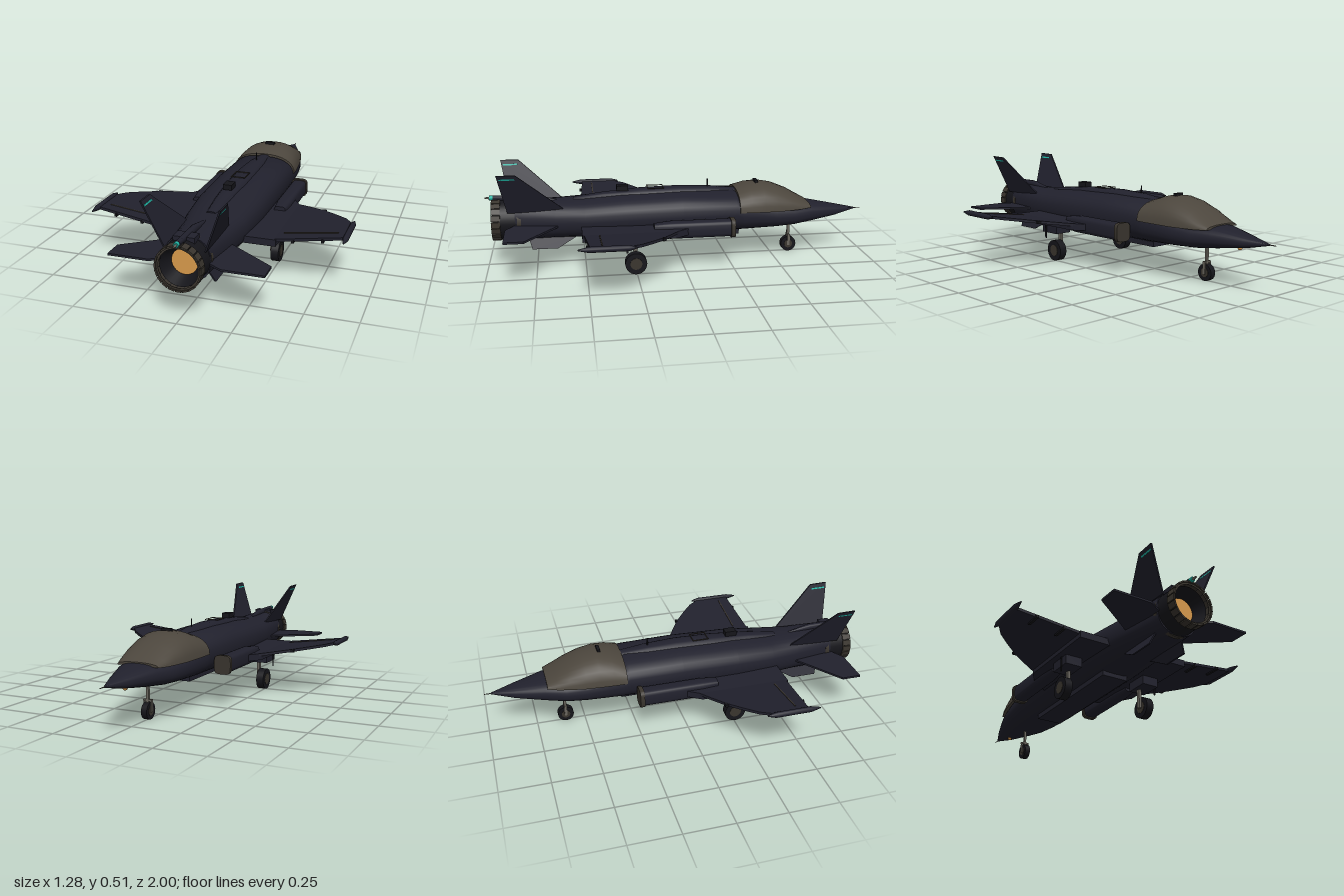
import * as THREE from 'three';
import { toCreasedNormals } from 'three/addons/utils/BufferGeometryUtils.js';

const mat = (name, color, side = THREE.FrontSide) => {
  const m = new THREE.MeshStandardMaterial({ color, side });
  m.name = name;
  return m;
};

// Closed skin over stations [z, halfWidth, yBottom, yTop]; flat gives a level base
function loft(stations, power, flat = false, n = 32) {
  const pos = [], idx = [];
  const bend = v => Math.sign(v) * Math.abs(v) ** (2 / power);
  for (const [z, w, lo, hi] of stations) {
    const mid = flat ? lo : (lo + hi) / 2;
    for (let j = 0; j < n; j++) {
      const a = (j / n) * Math.PI * 2;
      const s = bend(Math.sin(a));
      pos.push(w * bend(Math.cos(a)), mid + s * (s > 0 ? hi - mid : mid - lo), z);
    }
  }
  const last = stations.length - 1;
  for (let i = 0; i < last; i++) {
    for (let j = 0; j < n; j++) {
      const k = (j + 1) % n, a = i * n, b = a + n;
      idx.push(a + j, a + k, b + k, a + j, b + k, b + j);
    }
  }
  for (const i of [0, last]) {
    const [z, , lo, hi] = stations[i];
    const c = pos.length / 3;
    pos.push(0, (lo + hi) / 2, z);
    for (let j = 0; j < n; j++) {
      const p = i * n + j, q = i * n + (j + 1) % n;
      if (i) idx.push(c, p, q); else idx.push(c, q, p);
    }
  }
  const g = new THREE.BufferGeometry();
  g.setAttribute('position', new THREE.Float32BufferAttribute(pos, 3));
  g.setIndex(idx);
  return toCreasedNormals(g, 0.7);
}

function extrude(points, depth) {
  const shape = new THREE.Shape(points.map(p => new THREE.Vector2(...p)));
  return new THREE.ExtrudeGeometry(shape, { depth, bevelEnabled: false }).translate(0, 0, -depth / 2);
}

// Level plate from [x, z] points, rising with slope beyond x0
function level(points, y, thick, slope = 0, x0 = 0) {
  const g = extrude(points, thick).rotateX(Math.PI / 2).translate(0, y, 0);
  const p = g.attributes.position;
  for (let i = 0; i < p.count; i++) p.setY(i, p.getY(i) + slope * (p.getX(i) - x0));
  g.computeVertexNormals();
  return g;
}

// Upright plate from [z, y] points, leaning outward with slope above y0
function upright(points, x, thick, slope, y0) {
  const g = extrude(points, thick).rotateY(-Math.PI / 2).translate(x, 0, 0);
  const p = g.attributes.position;
  for (let i = 0; i < p.count; i++) p.setX(i, p.getX(i) + slope * (p.getY(i) - y0));
  g.computeVertexNormals();
  return g;
}

export function createModel() {
  const hull = mat('dark hull', 0x21212d);
  const glass = mat('bronze canopy', 0x4c463d);
  const trim = mat('brown metal', 0x3a352e, THREE.DoubleSide);
  const black = mat('black', 0x15151a, THREE.DoubleSide);
  const strutGrey = mat('strut grey', 0x6a665e);
  const orange = mat('engine glow', 0xd89a4c);
  const teal = mat('teal light', 0x1fb5a4);

  const model = new THREE.Group();
  const left = new THREE.Group();
  left.name = 'leftSide';
  const add = (name, geo, m, parent = model) => {
    const mesh = new THREE.Mesh(geo, m);
    mesh.name = name;
    parent.add(mesh);
    return mesh;
  };
  const box = (name, m, w, h, d, x, y, z, parent) =>
    add(name, new THREE.BoxGeometry(w, h, d).translate(x, y, z), m, parent);
  // Cylinder lying along z (r0 at the rear end) or along x
  const rodZ = (r0, r1, len, x, y, z, n = 16, open = false) =>
    new THREE.CylinderGeometry(r0, r1, len, n, 1, open).rotateX(Math.PI / 2).translate(x, y, z);
  const rodX = (r, len, x, y, z) =>
    new THREE.CylinderGeometry(r, r, len, 24).rotateZ(Math.PI / 2).translate(x, y, z);

  // Fuselage, canopy and spine
  add('fuselage', loft([
    [-0.965, 0.004, 0.222, 0.23], [-0.85, 0.052, 0.197, 0.252], [-0.7, 0.104, 0.176, 0.28],
    [-0.6, 0.134, 0.165, 0.285], [-0.5, 0.15, 0.16, 0.3], [-0.32, 0.168, 0.155, 0.34],
    [-0.28, 0.171, 0.154, 0.362], [0, 0.175, 0.152, 0.368], [0.3, 0.172, 0.152, 0.36],
    [0.5, 0.155, 0.15, 0.344], [0.65, 0.13, 0.148, 0.338], [0.8, 0.108, 0.14, 0.345],
    [0.85, 0.105, 0.139, 0.345],
  ], 2.6), hull);
  add('canopy', loft([
    [-0.69, 0.108, 0.268, 0.286], [-0.64, 0.126, 0.266, 0.315], [-0.58, 0.141, 0.266, 0.35],
    [-0.5, 0.155, 0.266, 0.383], [-0.43, 0.163, 0.268, 0.396], [-0.36, 0.17, 0.27, 0.39],
    [-0.295, 0.174, 0.272, 0.37],
  ], 2.3, true), glass);
  add('spine', loft([
    [-0.3, 0.04, 0.3, 0.366], [-0.15, 0.055, 0.3, 0.38], [0, 0.062, 0.3, 0.386],
    [0.2, 0.06, 0.3, 0.382], [0.4, 0.048, 0.3, 0.366], [0.555, 0.032, 0.3, 0.348],
  ], 3, true, 24), hull);
  add('pitotProbe', rodZ(0.003, 0.002, 0.05, 0, 0.226, -0.975, 8), strutGrey);
  add('noseSensor', new THREE.SphereGeometry(0.012, 12, 8).translate(0, 0.19, -0.8), orange);
  box('canopyLatch', black, 0.05, 0.014, 0.016, 0, 0.399, -0.41);
  box('spineAntenna', black, 0.045, 0.026, 0.06, 0, 0.388, 0.3);
  box('bladeAntenna', black, 0.004, 0.05, 0.006, 0, 0.395, -0.15);
  for (const s of [-1, 1]) {
    box('hatchSide', trim, 0.004, 0.004, 0.085, s * 0.035, 0.386, 0.128);
    box('hatchEnd', trim, 0.07, 0.004, 0.004, 0, 0.387, 0.128 + s * 0.04);
  }
  box('bellyPanel', hull, 0.14, 0.026, 0.66, 0, 0.143, 0.02);

  // Tail boom above the nozzle
  add('tailBoom', loft([
    [0.64, 0.008, 0.32, 0.34], [0.76, 0.016, 0.33, 0.367], [0.96, 0.013, 0.345, 0.37],
  ], 2.5, false, 16), hull);
  box('boomCollar', hull, 0.1, 0.03, 0.06, 0, 0.345, 0.86);
  add('boomLight', rodZ(0.012, 0.012, 0.02, 0, 0.358, 0.968), teal);
  add('boomTip', rodZ(0.004, 0.007, 0.024, 0, 0.358, 0.988, 8), strutGrey);

  // Engine nozzle
  const ny = 0.243;
  add('nozzleBand', rodZ(0.109, 0.109, 0.02, 0, ny, 0.83, 32), trim);
  add('nozzleShell', rodZ(0.101, 0.106, 0.13, 0, ny, 0.895, 32, true), black);
  add('nozzleInner', rodZ(0.095, 0.062, 0.08, 0, ny, 0.9, 32, true), black);
  add('engineGlow', new THREE.CircleGeometry(0.062, 32).translate(0, ny, 0.885), orange);
  add('nozzleRim', new THREE.RingGeometry(0.092, 0.106, 32).translate(0, ny, 0.961), trim);
  for (let i = 0; i < 20; i++) {
    const a = (i / 20) * Math.PI * 2;
    const petal = add('nozzlePetal', new THREE.BoxGeometry(0.029, 0.008, 0.045), trim);
    petal.position.set(Math.sin(a) * 0.104, ny + Math.cos(a) * 0.104, 0.946);
    petal.rotation.z = -a;
  }

  // Intake nacelle
  add('nacelle', loft([
    [-0.24, 0.038, 0.174, 0.258], [0.08, 0.038, 0.174, 0.258], [0.16, 0.03, 0.18, 0.25],
  ], 4, false, 24).translate(0.22, 0, 0), hull, left);
  add('intakeLip', loft([
    [-0.252, 0.044, 0.168, 0.263], [-0.23, 0.044, 0.168, 0.263],
  ], 4, false, 24).translate(0.22, 0, 0), trim, left);
  box('nacelleLight', teal, 0.006, 0.01, 0.05, 0.258, 0.203, 0.11, left);

  // Wing
  add('wingRoot', level([[0.14, -0.1], [0.25, -0.02], [0.302, 0.06], [0.302, 0.52], [0.14, 0.52]],
    0.213, 0.034), hull, left);
  add('wing', level([[0.29, 0.045], [0.36, 0.085], [0.44, 0.135], [0.52, 0.2], [0.58, 0.255],
    [0.622, 0.32], [0.622, 0.492], [0.29, 0.512]], 0.224, 0.014, 0.135, 0.3), hull, left);
  add('flapSeam', level([[0.32, 0.434], [0.58, 0.434], [0.58, 0.44], [0.32, 0.44]],
    0.232, 0.004, 0.135, 0.3), trim, left);
  add('wingtipPod', loft([
    [0.28, 0.003, 0.266, 0.272], [0.32, 0.014, 0.255, 0.283],
    [0.5, 0.014, 0.255, 0.283], [0.55, 0.003, 0.266, 0.272],
  ], 2, false, 14).translate(0.624, 0, 0), hull, left);
  for (const x of [0.38, 0.52]) {
    box('flapFairing', black, 0.012, 0.014, 0.08, x, 0.216 + 0.135 * (x - 0.3), 0.47, left);
  }
  box('wingSensor', black, 0.02, 0.014, 0.016, 0.445, 0.243, 0.135, left);
  box('underwingAntenna', black, 0.004, 0.08, 0.01, 0.275, 0.16, 0.3, left);

  // Tail surfaces
  add('tailplane', level([[0.09, 0.6], [0.13, 0.635], [0.365, 0.8], [0.365, 0.897], [0.17, 0.897],
    [0.09, 0.85]], 0.23, 0.01), hull, left);
  add('tailFin', upright([[0.6, 0.31], [0.885, 0.3], [0.925, 0.515], [0.832, 0.513]],
    0.102, 0.008, 0.385, 0.315), hull, left);
  add('finLight', upright([[0.835, 0.488], [0.912, 0.488], [0.913, 0.495], [0.84, 0.495]],
    0.102, 0.0095, 0.385, 0.315), teal, left);
  add('ventralFin', upright([[0.52, 0.17], [0.64, 0.105], [0.77, 0.105], [0.79, 0.17]],
    0.078, 0.008, -0.45, 0.145), hull, left);

  // Main landing gear
  add('mainTyre', rodX(0.055, 0.04, 0.237, 0.055, 0.255), black, left);
  add('mainHub', rodX(0.03, 0.044, 0.237, 0.055, 0.255), trim, left);
  box('mainStrut', strutGrey, 0.014, 0.15, 0.02, 0.21, 0.125, 0.255, left);
  box('mainGearDoor', hull, 0.09, 0.05, 0.12, 0.225, 0.175, 0.275, left);

  const right = left.clone();
  right.name = 'rightSide';
  right.scale.x = -1;
  model.add(left, right);

  // Nose landing gear
  add('noseTyre', rodX(0.041, 0.03, 0, 0.041, -0.6), black);
  add('noseHub', rodX(0.022, 0.034, 0, 0.041, -0.6), trim);
  box('noseStrut', strutGrey, 0.012, 0.09, 0.014, 0, 0.125, -0.6);
  for (const s of [-1, 1]) box('noseFork', strutGrey, 0.005, 0.06, 0.014, s * 0.019, 0.065, -0.6);
  box('noseForkBridge', strutGrey, 0.044, 0.008, 0.014, 0, 0.092, -0.6);

  return model;
}
